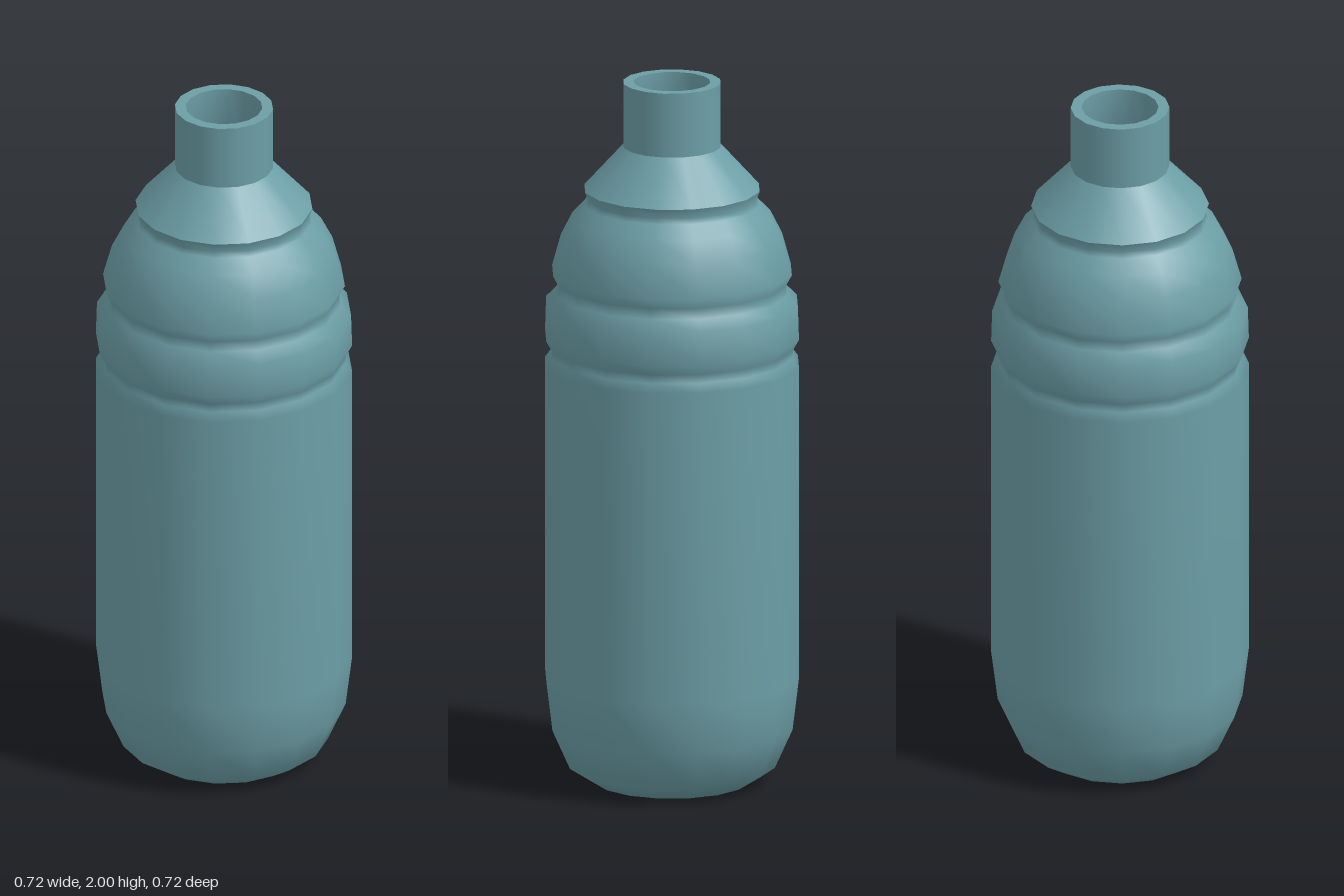
import * as THREE from 'three';

const SIDES = 16;
const WALL = 0.03;

export function createModel() {
  const bottle = new THREE.Group();
  bottle.name = 'bottle';
  const teal = new THREE.MeshStandardMaterial({ color: 0x6c9ea6 });
  teal.name = 'dusty teal';

  // Revolve a [radius, height] profile; rising profiles face outward
  const revolve = (name, profile) => {
    const points = profile.map(([r, y]) => new THREE.Vector2(r, y));
    const mesh = new THREE.Mesh(new THREE.LatheGeometry(points, SIDES), teal);
    mesh.name = name;
    bottle.add(mesh);
  };

  // Rounded base, straight body, two grooves, domed shoulder
  const body = [
    [0.22, 0], [0.29, 0.045], [0.34, 0.157], [0.358, 0.305],
    [0.358, 1.196], [0.34, 1.22], [0.341, 1.245], [0.358, 1.275],
    [0.355, 1.37], [0.325, 1.4], [0.322, 1.43], [0.338, 1.46],
    [0.313, 1.55], [0.28, 1.615], [0.245, 1.652], [0.237, 1.668], [0.247, 1.695],
  ];
  const cone = [[0.247, 1.695], [0.137, 1.817]];
  const neck = [[0.137, 1.817], [0.137, 2]];

  revolve('body', [[0, 0], ...body]);
  revolve('shoulderCone', cone);
  revolve('neck', neck);
  revolve('rim', [[0.137, 2], [0.137 - WALL, 2]]);

  // Hollow inside, running from the mouth down to the floor
  const inner = [...body, cone[1], neck[1]]
    .map(([r, y]) => [r - WALL, Math.max(y, WALL)])
    .reverse();
  revolve('innerWall', [...inner, [0, WALL]]);

  return bottle;
}
